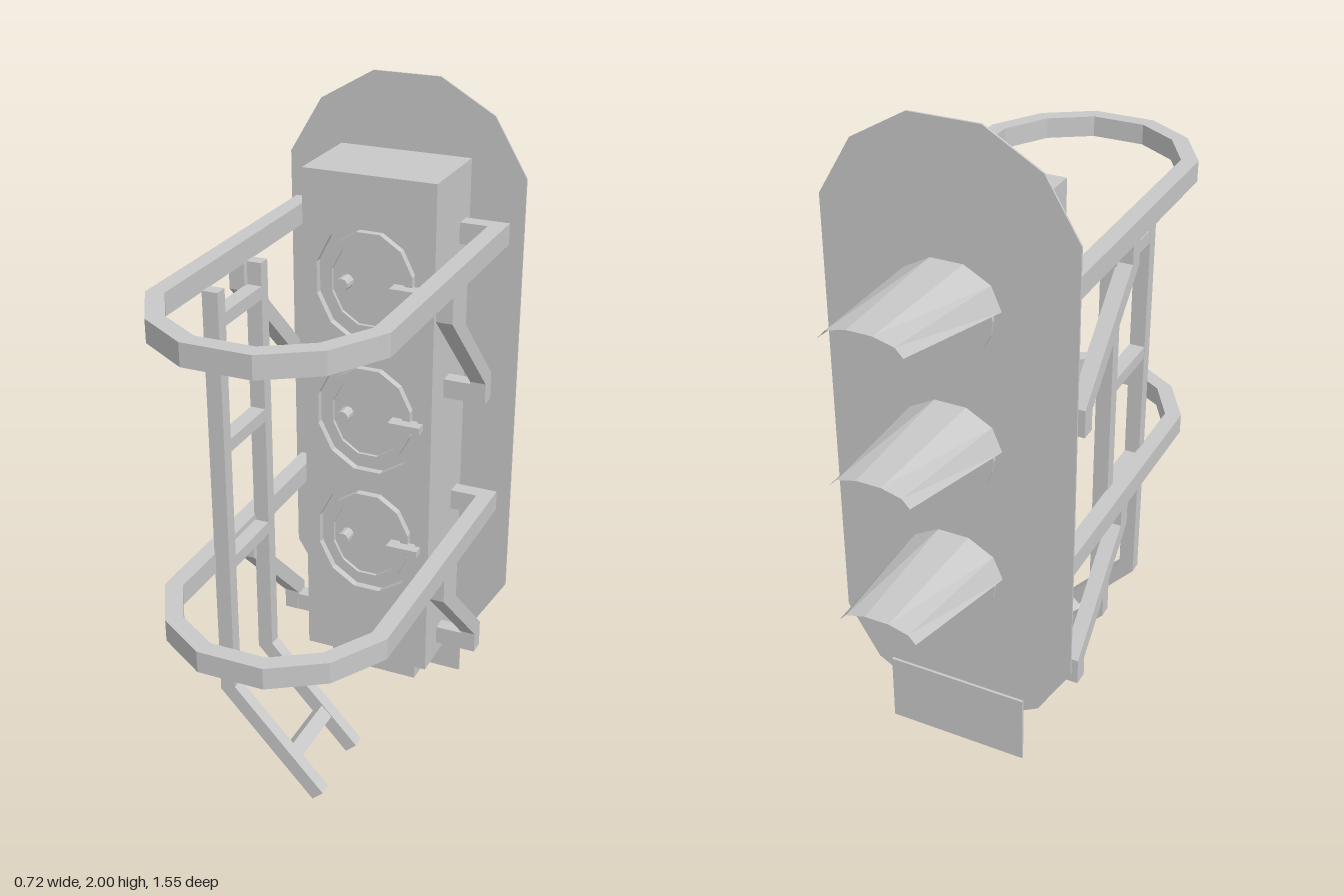
import * as THREE from 'three';

const grey = new THREE.MeshStandardMaterial({ color: 0xc8c8c8, side: THREE.DoubleSide, flatShading: true });
grey.name = 'light grey metal';

function add(parent, name, geometry, x = 0, y = 0, z = 0) {
  const mesh = new THREE.Mesh(geometry, grey);
  mesh.name = name;
  mesh.position.set(x, y, z);
  parent.add(mesh);
  return mesh;
}

// Box given by its minimum and maximum corners
function box(parent, name, x0, x1, y0, y1, z0, z1) {
  return add(parent, name, new THREE.BoxGeometry(x1 - x0, y1 - y0, z1 - z0),
    (x0 + x1) / 2, (y0 + y1) / 2, (z0 + z1) / 2);
}

const extrude = (shape, depth) => new THREE.ExtrudeGeometry(shape, { depth, bevelEnabled: false });

// Flat bar with mitred corners that follows a path
function strip(points, width, depth) {
  const p = points.map(([x, y]) => new THREE.Vector2(x, y));
  const left = [], right = [];
  p.forEach((q, i) => {
    const a = q.clone().sub(p[Math.max(i - 1, 0)]).normalize();
    const b = p[Math.min(i + 1, p.length - 1)].clone().sub(q).normalize();
    const d0 = i ? a : b, d1 = i < p.length - 1 ? b : a;
    const n0 = new THREE.Vector2(-d0.y, d0.x), n1 = new THREE.Vector2(-d1.y, d1.x);
    const m = n0.clone().add(n1).normalize();
    m.multiplyScalar(width / 2 / m.dot(n0));
    left.push(q.clone().add(m));
    right.unshift(q.clone().sub(m));
  });
  return extrude(new THREE.Shape([...left, ...right]), depth);
}

// Twelve-sided, slightly tall ring with flat top and sides
const tall = 1.13;
function ringPoints(r, cy) {
  return Array.from({ length: 12 }, (_, i) => {
    const t = (i + 0.5) * Math.PI / 6, R = r / Math.cos(Math.PI / 12);
    return new THREE.Vector2(R * Math.cos(t), cy + R * tall * Math.sin(t));
  });
}

// Tapering hood: an arch at the lens narrowing to a flatter arch at the tip
function visorGeometry() {
  const pos = [], index = [], n = 5;
  for (let i = 0; i <= n; i++) {
    const t = Math.PI * i / n, c = Math.cos(t), s = Math.sin(t);
    pos.push(0.15 * c, 0.028 + 0.113 * s, -0.365, 0.112 * c, 0.098 + 0.04 * s, -0.778);
    if (i < n) index.push(2 * i, 2 * i + 1, 2 * i + 2, 2 * i + 2, 2 * i + 1, 2 * i + 3);
  }
  const g = new THREE.BufferGeometry();
  g.setAttribute('position', new THREE.Float32BufferAttribute(pos, 3));
  g.setIndex(index);
  const flat = g.toNonIndexed();
  flat.computeVertexNormals();
  return flat;
}

export function createModel() {
  const model = new THREE.Group();
  const rows = [1.475, 1.07, 0.665];

  // Housing with recessed service doors
  box(model, 'housing', -0.197, 0.197, 0.245, 1.785, -0.36, -0.115);
  const face = new THREE.Shape([[-0.197, 0.245], [0.197, 0.245], [0.197, 1.785], [-0.197, 1.785]]
    .map(([x, y]) => new THREE.Vector2(x, y)));
  rows.forEach(y => face.holes.push(new THREE.Path(ringPoints(0.155, y))));
  add(model, 'housingFace', extrude(face, 0.022), 0, 0, -0.115);
  box(model, 'lowerBox', -0.14, 0.14, 0.16, 0.245, -0.36, -0.15);

  // Doors: raised rim around a sunken disc, with knob and latch
  rows.forEach(y => {
    const door = new THREE.Group();
    door.name = 'door';
    door.position.set(0, y, -0.093);
    model.add(door);
    const rim = new THREE.Shape(ringPoints(0.131, 0));
    rim.holes.push(new THREE.Path(ringPoints(0.108, 0)));
    add(door, 'doorRim', extrude(rim, 0.022), 0, 0, -0.022);
    add(door, 'doorDisc', extrude(new THREE.Shape(ringPoints(0.108, 0)), 0.012), 0, 0, -0.022);
    const knob = new THREE.CylinderGeometry(0.019, 0.019, 0.044, 10).rotateX(Math.PI / 2);
    add(door, 'doorKnob', knob, -0.066, 0, 0.009);
    box(door, 'doorLatch', 0.075, 0.172, -0.011, 0.011, -0.01, 0.031);
  });

  // Backing board with clipped ends
  const quarter = [[0.358, 0.652], [0.26, 0.815], [0.1, 0.907]];
  const top = [...quarter, ...quarter.map(([x, y]) => [-x, y]).reverse()];
  const outline = [...top, ...top.map(([x, y]) => [-x, -y])];
  const board = new THREE.Shape(outline.map(([x, y]) => new THREE.Vector2(x, y)));
  add(model, 'backingBoard', extrude(board, 0.006), 0, 1.093, -0.365);
  box(model, 'signPlate', -0.215, 0.213, 0.072, 0.29, -0.374, -0.366);

  // Lenses and hoods
  [1.498, 1.09, 0.675].forEach(y => {
    const lens = new THREE.CylinderGeometry(0.13, 0.13, 0.012, 20).rotateX(Math.PI / 2);
    add(model, 'lens', lens, 0, y, -0.369);
    add(model, 'visor', visorGeometry(), 0, y, 0);
  });

  // Safety hoops with a diagonal strut on each side
  const half = [[-0.19, -0.302], [-0.302, -0.302], [-0.302, 0.525], [-0.218, 0.668], [-0.086, 0.752]];
  const hoopPath = [...half, ...half.map(([x, z]) => [-x, z]).reverse()];
  [1.625, 0.782].forEach(y => {
    add(model, 'safetyHoop', strip(hoopPath, 0.048, 0.062).rotateX(Math.PI / 2), 0, y, 0);
    for (const s of [-1, 1]) {
      const path = [[0.085, y - 0.06], [0.085, y - 0.13], [-0.207, y - 0.42], [-0.207, y - 0.493]];
      add(model, 'strut', strip(path, 0.046, 0.046).rotateY(-Math.PI / 2), s * 0.3 + 0.023, 0, 0);
      box(model, 'strutFoot', s * 0.25 - 0.07, s * 0.25 + 0.07, y - 0.493, y - 0.437, -0.23, -0.185);
    }
  });

  // Ladder with a slanted lower end
  for (const z of [0.051, 0.295]) {
    const rail = strip([[-0.258, 1.565], [-0.258, 0.328], [0.028, 0.02]], 0.046, 0.039);
    add(model, 'ladderRail', rail, 0, 0, z);
  }
  for (const y of [1.48, 1.112, 0.745]) {
    box(model, 'ladderRung', -0.28, -0.235, y - 0.019, y + 0.019, 0.09, 0.295);
  }
  const lowRung = box(model, 'ladderRung', -0.093, -0.047, 0.098, 0.144, 0.09, 0.295);
  lowRung.rotation.z = Math.PI / 4;

  return model;
}
